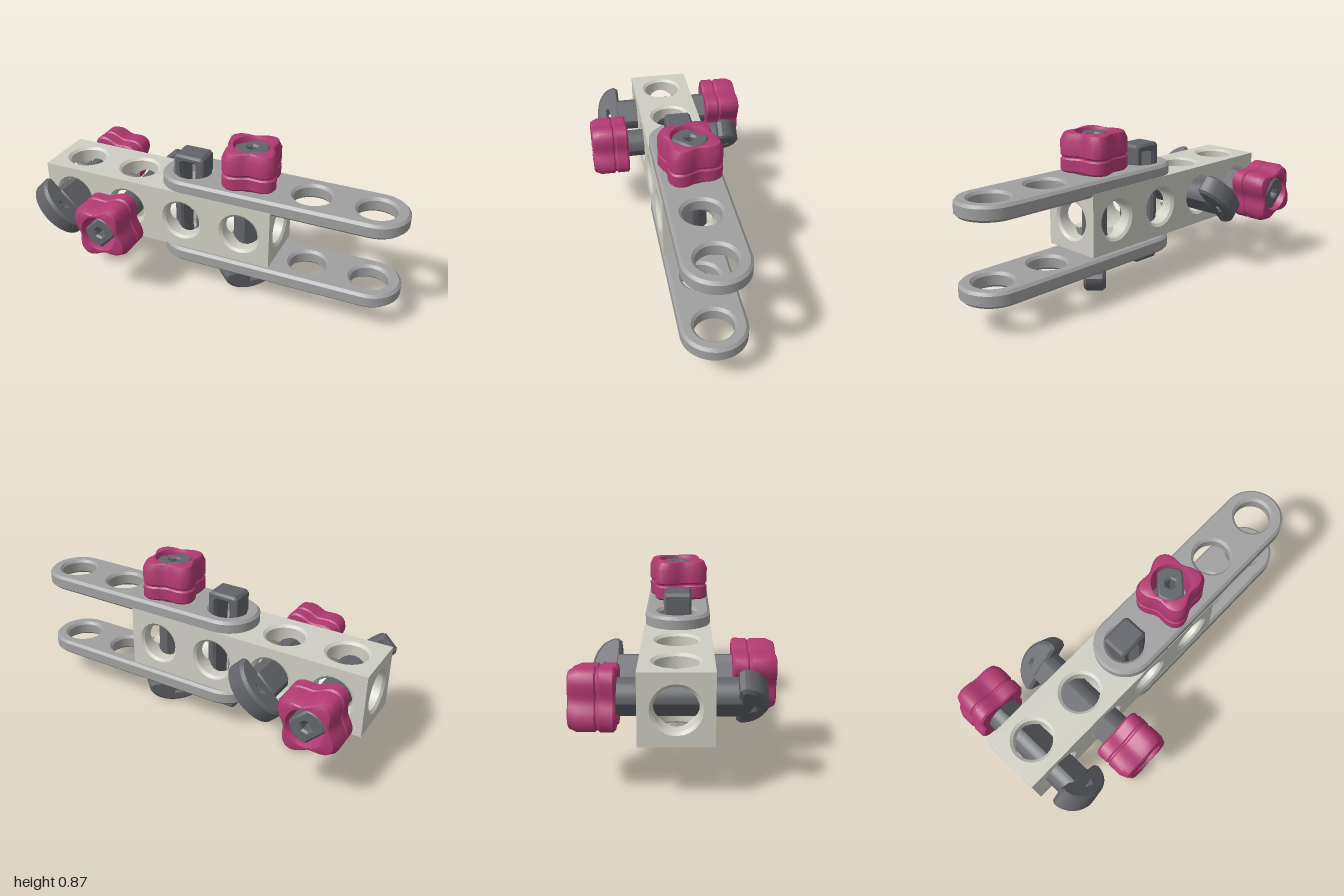
import * as THREE from 'three';
import { toCreasedNormals } from 'three/addons/utils/BufferGeometryUtils.js';

const PITCH = 1 / 3, HALF = PITCH / 2, BORE = 0.1, CY = 0.4225;
const mat = (color) => new THREE.MeshStandardMaterial({ color });
const ivory = mat(0xcfcec4), grey = mat(0xa0a0a0), steel = mat(0x626469), pink = mat(0xb23a72);

function add(parent, geo, material, name) {
  const mesh = new THREE.Mesh(geo, material);
  mesh.name = name;
  parent.add(mesh);
  return mesh;
}

// Skin through rings; each ring is a function of the angle giving [radius, z]
function loft(rings, n) {
  const pos = [], idx = [];
  rings.forEach((ring, i) => {
    for (let j = 0; j < n; j++) {
      const a = (j / n) * Math.PI * 2, [r, z] = ring(a);
      pos.push(r * Math.cos(a), r * Math.sin(a), z);
      if (i === rings.length - 1) continue;
      const k = (j + 1) % n, p = i * n + j, q = i * n + k;
      idx.push(p, q, q + n, p, q + n, p + n);
    }
  });
  const geo = new THREE.BufferGeometry();
  geo.setAttribute('position', new THREE.Float32BufferAttribute(pos, 3));
  geo.setIndex(idx);
  return toCreasedNormals(geo, 0.6);
}

function polygonPath(x, y, r, n) {
  const pts = [];
  for (let i = 0; i < n; i++) {
    const a = (i / n) * Math.PI * 2;
    pts.push(new THREE.Vector2(x + r * Math.cos(a), y + r * Math.sin(a)));
  }
  return new THREE.Path(pts);
}

// Extrusion centred on z = 0 with a chamfered edge; depth is the full thickness
function plate(shape, depth, bevel, curveSegments = 16) {
  const geo = new THREE.ExtrudeGeometry(shape, {
    depth: depth - 2 * bevel, bevelEnabled: bevel > 0, bevelSize: bevel,
    bevelThickness: bevel, bevelOffset: -bevel, bevelSegments: 1, curveSegments,
  });
  geo.translate(0, 0, -depth / 2 + bevel);
  return toCreasedNormals(geo, 0.6);
}

// Square beam, bored through along all three axes in every cell
function makeBeam() {
  const beam = new THREE.Group();
  beam.name = 'beam';
  const N = 24, rim = 0.015;
  const face = (cells) => {
    const w = cells * HALF;
    const s = new THREE.Shape([[-w, -HALF], [w, -HALF], [w, HALF], [-w, HALF]]
      .map(([x, y]) => new THREE.Vector2(x, y)));
    for (let i = 0; i < cells; i++) s.holes.push(polygonPath((i + 0.5) * PITCH - w, 0, BORE + rim, N));
    return new THREE.ShapeGeometry(s).translate(0, 0, HALF);
  };
  // each bore wall stops where it meets the crossing bores
  const inner = (a) => [BORE, BORE * Math.max(Math.abs(Math.cos(a)), Math.abs(Math.sin(a)))];
  const openBore = loft([() => [BORE + rim, HALF], () => [BORE, HALF - 0.012], inner], N);
  const joinBore = loft([() => [BORE, HALF], inner], N);
  const side = face(4), end = face(1);
  for (let k = 0; k < 4; k++) {
    add(beam, side, ivory, 'beamSide').rotation.x = k * Math.PI / 2;
    for (let c = 0; c < 4; c++) {
      const bore = add(beam, openBore, ivory, 'crossBore');
      bore.rotation.x = k * Math.PI / 2;
      bore.position.x = (c - 1.5) * PITCH;
    }
  }
  for (const s of [-1, 1]) {
    const cap = add(beam, end, ivory, 'beamEnd');
    cap.rotation.y = s * Math.PI / 2;
    cap.position.x = s * 1.5 * PITCH;
    for (let c = 0; c < 4; c++) {
      const outer = c === (s > 0 ? 3 : 0);
      const bore = add(beam, outer ? openBore : joinBore, ivory, 'longBore');
      bore.rotation.y = s * Math.PI / 2;
      bore.position.x = (c - 1.5) * PITCH;
    }
  }
  beam.position.set(-PITCH, CY, 0);
  return beam;
}

// Flat arm with round ends and four holes
function armGeometry() {
  const r = 0.165, w = 1.5 * PITCH, b = 0.014;
  const s = new THREE.Shape();
  s.absarc(w, 0, r, -Math.PI / 2, Math.PI / 2);
  s.absarc(-w, 0, r, Math.PI / 2, Math.PI * 1.5);
  s.closePath();
  for (let i = 0; i < 4; i++) s.holes.push(polygonPath((i - 1.5) * PITCH, 0, BORE - 0.002, 28));
  return plate(s, 0.08, b).rotateX(-Math.PI / 2);
}

// Round rod with two flats and a hexagonal socket
function shaftGeometry(y0, y1) {
  const r = 0.09, a = Math.asin(0.065 / r);
  const s = new THREE.Shape();
  s.absarc(0, 0, r, -a, a);
  s.absarc(0, 0, r, Math.PI - a, Math.PI + a);
  s.closePath();
  s.holes.push(polygonPath(0, 0, 0.026, 6));
  return plate(s, y1 - y0, 0.01, 8).rotateX(-Math.PI / 2).translate(0, (y0 + y1) / 2, 0);
}

// Half-moon grip with a small cross hole
function headGeometry() {
  const s = new THREE.Shape();
  s.moveTo(0.15, 0);
  s.lineTo(-0.15, 0);
  s.lineTo(-0.165, -0.02);
  s.absellipse(0, -0.02, 0.165, 0.115, Math.PI, Math.PI * 2);
  s.closePath();
  s.holes.push(polygonPath(0, -0.045, 0.03, 6));
  return plate(s, 0.115, 0.014, 10).translate(0, -0.267, 0);
}

// Four-lobed knob with a groove, a chamfered crown and a bore
function knobGeometry() {
  const lobe = (k, z) => (a) => [k * (0.15 + 0.025 * Math.cos(4 * (a - 0.2))), z];
  const ring = (r, z) => () => [r, z];
  return loft([
    ring(0.092, 0), lobe(0.94, 0), lobe(1, 0.01), lobe(1, 0.068), lobe(0.95, 0.076),
    lobe(0.95, 0.082), lobe(1, 0.09), lobe(1, 0.165), lobe(0.9, 0.2), lobe(0.84, 0.205),
    ring(0.1, 0.205), ring(0.092, 0.185), ring(0.092, 0),
  ], 48).rotateX(-Math.PI / 2).translate(0, 0.258, 0);
}

// Slotted pin standing through both arms
function pinGeometry() {
  const w = 0.085, y0 = 0.09, y1 = 0.755;
  const rect = (x, a, b, c) => [[-x, a + c], [-x + c, a], [x - c, a], [x, a + c], [x, b - c], [x - c, b], [-x + c, b], [-x, b - c]]
    .map(([px, py]) => new THREE.Vector2(px, py));
  const s = new THREE.Shape(rect(w, y0, y1, 0.015));
  s.holes.push(new THREE.Path(rect(0.038, y0 + 0.04, y1 - 0.04, 0.008)));
  return plate(s, 0.14, 0.012);
}

export function createModel() {
  const model = new THREE.Group();
  model.name = 'beamAssembly';
  model.add(makeBeam());

  const arm = armGeometry();
  add(model, arm, grey, 'upperArm').position.set(PITCH, 0.611, 0);
  add(model, arm, grey, 'lowerArm').position.set(PITCH, 0.196, 0);
  add(model, pinGeometry(), steel, 'slottedPin').position.x = -HALF;

  // Clamping bolts: position, direction of the grip, direction from head to knob
  const shaft = shaftGeometry(-0.29, 0.45), head = headGeometry(), knob = knobGeometry();
  const bolts = [
    ['backClampBolt', [-2.5 * PITCH, CY, 0], [-1, 1, 0], [0, 0, -1]],
    ['frontClampBolt', [-1.5 * PITCH, CY, 0], [1, 1, 0], [0, 0, 1]],
    ['topClampBolt', [HALF, CY - 0.02, 0], [1, 0, -1], [0, 1, 0]],
  ];
  for (const [name, at, grip, axis] of bolts) {
    const bolt = new THREE.Group();
    bolt.name = name;
    add(bolt, shaft, steel, 'boltShaft');
    add(bolt, head, steel, 'boltHead');
    add(bolt, knob, pink, 'knob');
    const x = new THREE.Vector3(...grip).normalize(), y = new THREE.Vector3(...axis);
    const basis = new THREE.Matrix4().makeBasis(x, y, x.clone().cross(y));
    bolt.quaternion.setFromRotationMatrix(basis);
    bolt.position.set(...at);
    model.add(bolt);
  }
  return model;
}
